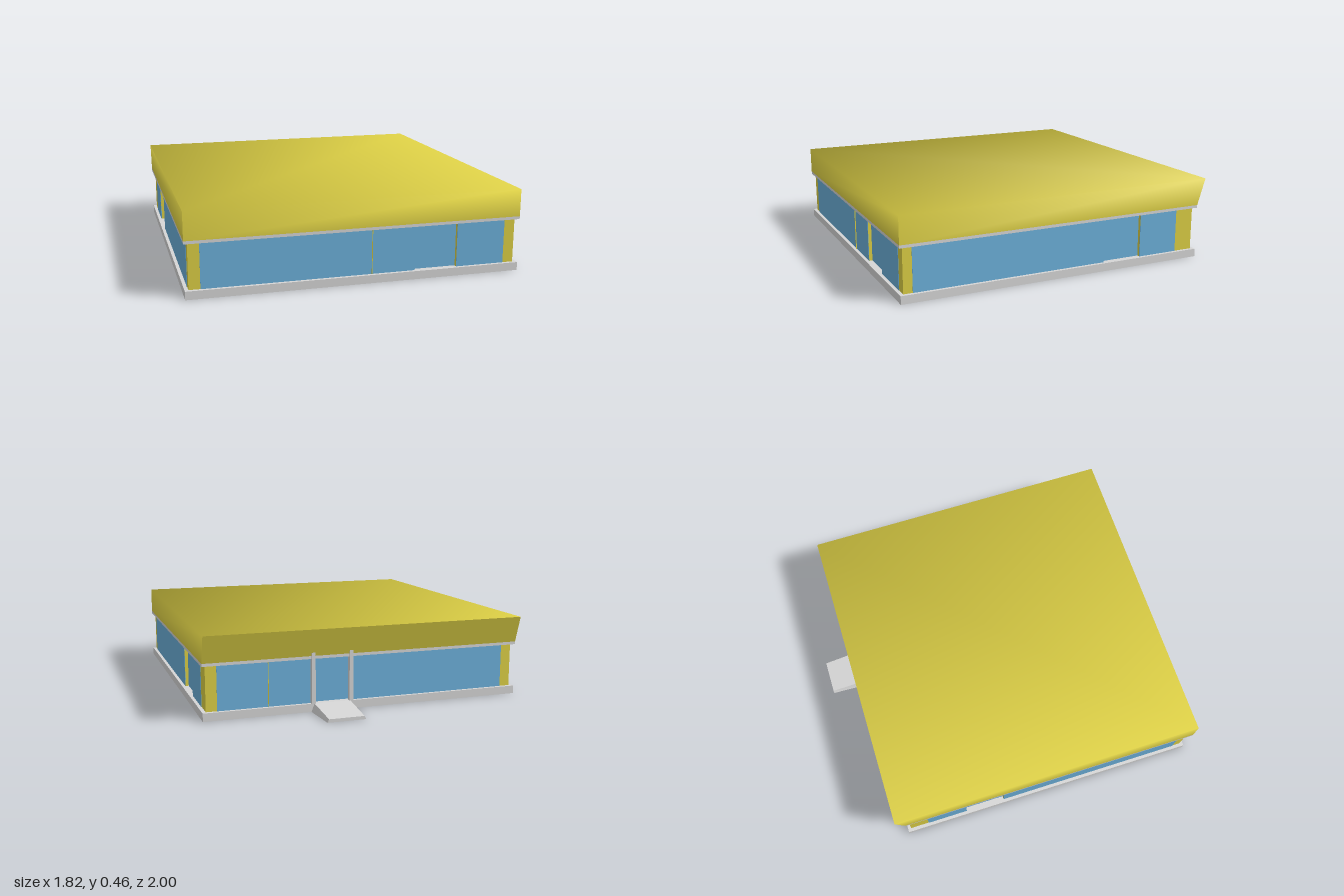
import * as THREE from 'three';

const yellow = new THREE.MeshStandardMaterial({ color: 0xdccf45 });
yellow.name = 'yellow';
const glassBlue = new THREE.MeshStandardMaterial({ color: 0x6cb0da });
glassBlue.name = 'glass blue';
const grey = new THREE.MeshStandardMaterial({ color: 0xd6d6d6 });
grey.name = 'light grey';

const FLOOR = 0.045, EAVE = 0.29, ROOF = 0.306, TOP = 0.457;
const X = 0.91, BACK = -0.78, FRONT = 1;          // slab outline
const WX = 0.89, WB = -0.76, WF = 0.98;           // wall outline
const R = 0.02;                                   // depth of door recesses

export function createModel() {
  const group = new THREE.Group();
  const add = (name, geometry, material) => {
    const mesh = new THREE.Mesh(geometry, material);
    mesh.name = name;
    group.add(mesh);
  };
  const box = (name, material, x0, x1, y0, y1, z0, z1) => {
    const g = new THREE.BoxGeometry(x1 - x0, y1 - y0, z1 - z0);
    g.translate((x0 + x1) / 2, (y0 + y1) / 2, (z0 + z1) / 2);
    add(name, g, material);
  };
  // Quads given counter-clockwise from outside, with optional corner normals
  const quads = (faces, normals) => {
    const g = new THREE.BufferGeometry();
    const index = faces.flatMap((_, i) => [0, 1, 2, 0, 2, 3].map((k) => k + i * 4));
    g.setAttribute('position', new THREE.Float32BufferAttribute(faces.flat(2), 3));
    g.setIndex(index);
    if (normals) g.setAttribute('normal', new THREE.Float32BufferAttribute(normals.flat(2), 3));
    else g.computeVertexNormals();
    return g;
  };

  // Floor slab and eave trim
  box('floorSlab', grey, -X, X, 0, FLOOR, BACK, FRONT);
  box('eaveTrim', grey, -X, X, EAVE, ROOF, BACK, FRONT);

  // Wall body with a shallow door recess on each side
  const outline = [
    [-WX, WF], [0.315, WF], [0.315, WF - R], [0.555, WF - R], [0.555, WF], [WX, WF],
    [WX, -0.175], [WX - R, -0.175], [WX - R, -0.41], [WX, -0.41], [WX, WB],
    [0.31, WB], [0.31, WB + R], [0.09, WB + R], [0.09, WB], [-WX, WB],
    [-WX, -0.41], [-WX + R, -0.41], [-WX + R, -0.175], [-WX, -0.175],
  ];
  const shape = new THREE.Shape(outline.map(([x, z]) => new THREE.Vector2(x, -z)));
  const walls = new THREE.ExtrudeGeometry(shape, { depth: EAVE - FLOOR, bevelEnabled: false });
  walls.rotateX(-Math.PI / 2).translate(0, FLOOR, 0);
  add('walls', walls, yellow);

  // Glass panes as thin plates on the wall faces
  const T = 0.002;
  const paneZ = (name, x0, x1, z) => box(name, glassBlue, x0, x1, FLOOR, EAVE, z - T, z + T);
  const paneX = (name, z0, z1, x) => box(name, glassBlue, x - T, x + T, FLOOR, EAVE, z0, z1);
  paneZ('frontWindow', -0.83, 0.315, WF);
  paneZ('frontDoor', 0.315, 0.555, WF - R);
  paneZ('frontWindow', 0.555, 0.83, WF);
  paneZ('backWindow', -0.83, 0.09, WB);
  paneZ('backDoor', 0.09, 0.31, WB + R);
  paneZ('backWindow', 0.31, 0.83, WB);
  for (const s of [-1, 1]) {
    const side = s > 0 ? 'left' : 'right';
    paneX(side + 'Window', -0.175, 0.93, s * WX);
    paneX(side + 'Door', -0.41, -0.175, s * (WX - R));
    paneX(side + 'Window', -0.65, -0.41, s * WX);
  }

  // Fine seams between panes
  box('frontSeam', yellow, 0.0735, 0.0765, FLOOR, EAVE, WF, WF + 0.007);
  box('backSeam', yellow, 0.5535, 0.5565, FLOOR, EAVE, WB - 0.007, WB);

  // Roof: top blends softly into the front and sides, back leans outward
  const RB = -0.828;
  const fl = [-X, TOP, FRONT], fr = [X, TOP, FRONT], br = [X, TOP, RB], bl = [-X, TOP, RB];
  const FL = [-X, ROOF, FRONT], FR = [X, ROOF, FRONT], BR = [X, ROOF, BACK], BL = [-X, ROOF, BACK];
  const n = (x, y, z) => new THREE.Vector3(x, y, z).normalize().toArray();
  const nfl = n(-1, 1, 1), nfr = n(1, 1, 1), nbr = n(1, 1, 0), nbl = n(-1, 1, 0);
  const nf = [0, 0, 1], nr = [1, 0, 0], nl = [-1, 0, 0], nb = n(0, -0.3, -1);
  add('roof', quads(
    [[br, bl, fl, fr], [FL, FR, fr, fl], [FR, BR, br, fr], [BL, FL, fl, bl], [BR, BL, bl, br]],
    [[nbr, nbl, nfl, nfr], [nf, nf, nfr, nfl], [nr, nr, nbr, nfr], [nl, nl, nbl, nfl], [nb, nb, nb, nb]],
  ), yellow);

  // Posts beside the back door
  for (const x of [0.085, 0.3]) box('doorPost', grey, x, x + 0.022, FLOOR, 0.325, -0.786, WB);

  // Entrance ramp, tapered and open underneath
  const a = [0.1, FLOOR, BACK], b = [0.305, FLOOR, BACK], c = [0.3, 0.018, -1], d = [0.104, 0.018, -1];
  const A = [0.085, 0, BACK], B = [0.322, 0, BACK], C = [0.308, 0, -1], D = [0.095, 0, -1];
  add('ramp', quads([[a, b, c, d], [b, B, C, c], [A, a, d, D], [D, d, c, C]]), grey);

  return group;
}
